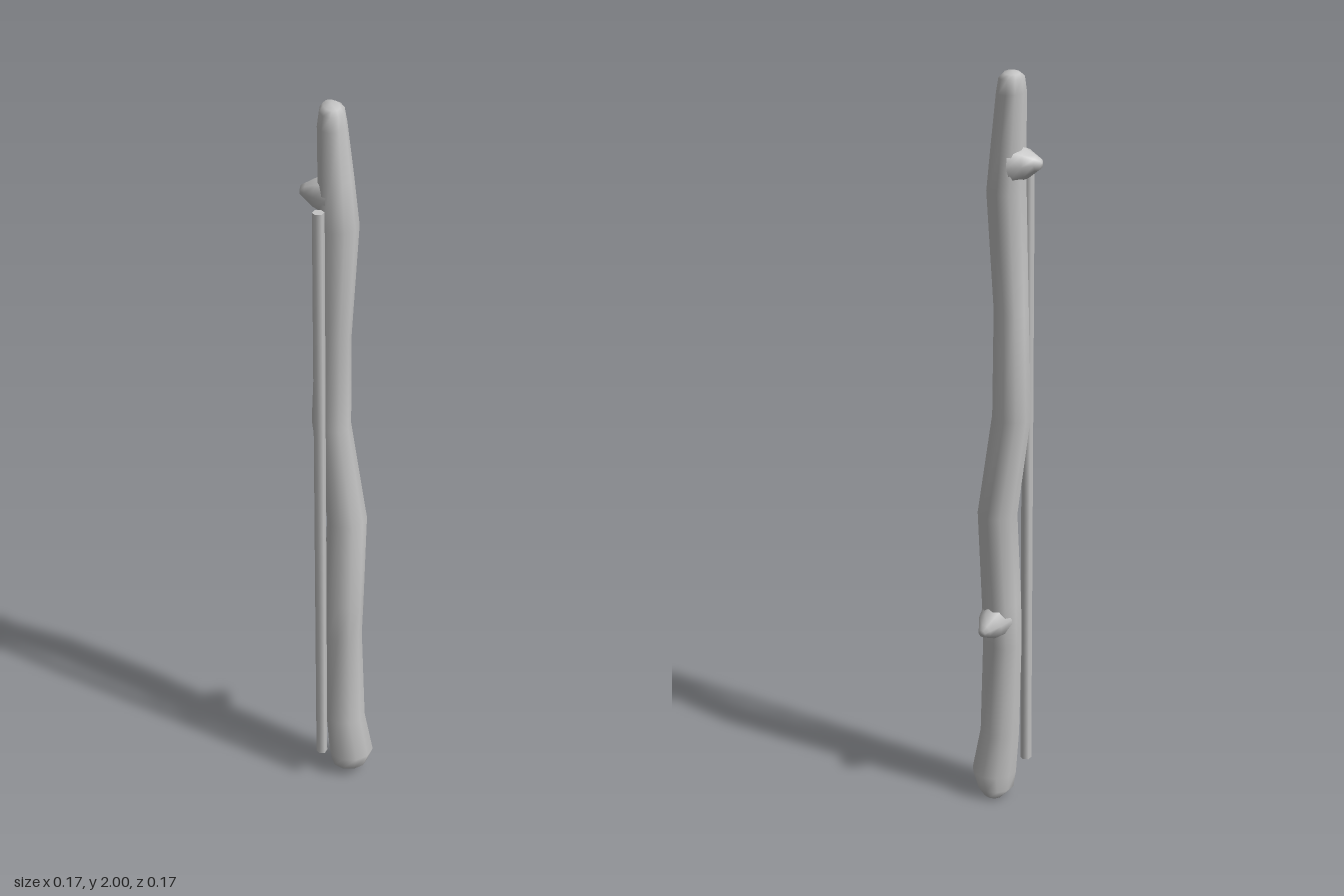
import * as THREE from 'three';

const SIDES = 10;

// height, xMin, xMax, zMin, zMax, skew of the oval
const SECTIONS = [
  [0.01, 0.0, 0.05, -0.01, 0.05, 0],
  [0.03, -0.035, 0.062, -0.018, 0.072, 0.1],
  [0.075, -0.046, 0.073, -0.02, 0.089, 0.1],
  [0.2, -0.05, 0.055, -0.025, 0.07, 0.1],
  [0.48, -0.05, 0.051, -0.045, 0.066, 0],
  [0.6, -0.05, 0.053, -0.042, 0.071, 0],
  [0.85, -0.04, 0.067, -0.036, 0.061, 0],
  [1.13, -0.052, 0.042, -0.086, 0.025, 0],
  [1.4, -0.06, 0.026, -0.052, 0.044, 0],
  [1.7, -0.06, 0.041, -0.04, 0.056, 0],
  [1.82, -0.058, 0.035, -0.046, 0.046, -0.15],
  [1.95, -0.056, 0.033, -0.062, 0.032, -0.4],
  [1.985, -0.05, 0.028, -0.06, 0.026, -0.45],
  [1.995, -0.035, 0.012, -0.05, 0.015, -0.4],
];

// Lofts the oval sections into a closed, smooth trunk
function trunkGeometry() {
  const pos = [], index = [];
  for (const [y, x0, x1, z0, z1, k] of SECTIONS) {
    for (let i = 0; i < SIDES; i++) {
      const t = (i / SIDES) * Math.PI * 2;
      const c = Math.cos(t), s = Math.sin(t);
      pos.push(
        (x0 + x1) / 2 + ((x1 - x0) / 2) * c,
        y,
        (z0 + z1) / 2 + ((z1 - z0) / 2) * (s * Math.sqrt(1 - k * k) + k * c));
    }
  }
  const rings = SECTIONS.length;
  for (let r = 0; r < rings - 1; r++) {
    for (let i = 0; i < SIDES; i++) {
      const a = r * SIDES + i, b = r * SIDES + ((i + 1) % SIDES);
      index.push(a, a + SIDES, b, b, a + SIDES, b + SIDES);
    }
  }
  // end caps
  const bottom = rings * SIDES, top = bottom + 1, last = (rings - 1) * SIDES;
  pos.push(0.03, 0.002, 0.02, -0.012, 2.0, -0.018);
  for (let i = 0; i < SIDES; i++) {
    const j = (i + 1) % SIDES;
    index.push(bottom, i, j, top, last + j, last + i);
  }
  const g = new THREE.BufferGeometry();
  g.setAttribute('position', new THREE.Float32BufferAttribute(pos, 3));
  g.setIndex(index);
  g.computeVertexNormals();
  return g;
}

// Blunt twig stub with a flared foot, running from base to tip
function stub(name, base, tip, material) {
  const a = new THREE.Vector3(...base), dir = new THREE.Vector3(...tip).sub(a);
  const len = dir.length();
  const profile = [[0.05, 0], [0.038, 0.45], [0.02, 0.8], [0.011, 0.97], [0, 1]]
    .map(([r, h]) => new THREE.Vector2(r, h * len));
  const mesh = new THREE.Mesh(new THREE.LatheGeometry(profile, 8), material);
  mesh.name = name;
  mesh.position.copy(a);
  mesh.quaternion.setFromUnitVectors(new THREE.Vector3(0, 1, 0), dir.normalize());
  return mesh;
}

export function createModel() {
  const group = new THREE.Group();
  group.name = 'woodenStaff';
  const grey = new THREE.MeshStandardMaterial({ color: 0xc4c4c4 });
  grey.name = 'plainGrey';

  const trunk = new THREE.Mesh(trunkGeometry(), grey);
  trunk.name = 'trunk';
  group.add(trunk);

  group.add(stub('lowerStub', [0.02, 0.55, 0.0], [0.084, 0.537, -0.036], grey));
  group.add(stub('upperStub', [-0.02, 1.775, -0.012], [-0.068, 1.78, -0.068], grey));

  // thin straight rod beside the trunk
  const rod = new THREE.Mesh(new THREE.CylinderGeometry(0.015, 0.015, 1.655, 6), grey);
  rod.name = 'sideRod';
  rod.position.set(-0.074, 0.9275, 0.017);
  group.add(rod);

  return group;
}
